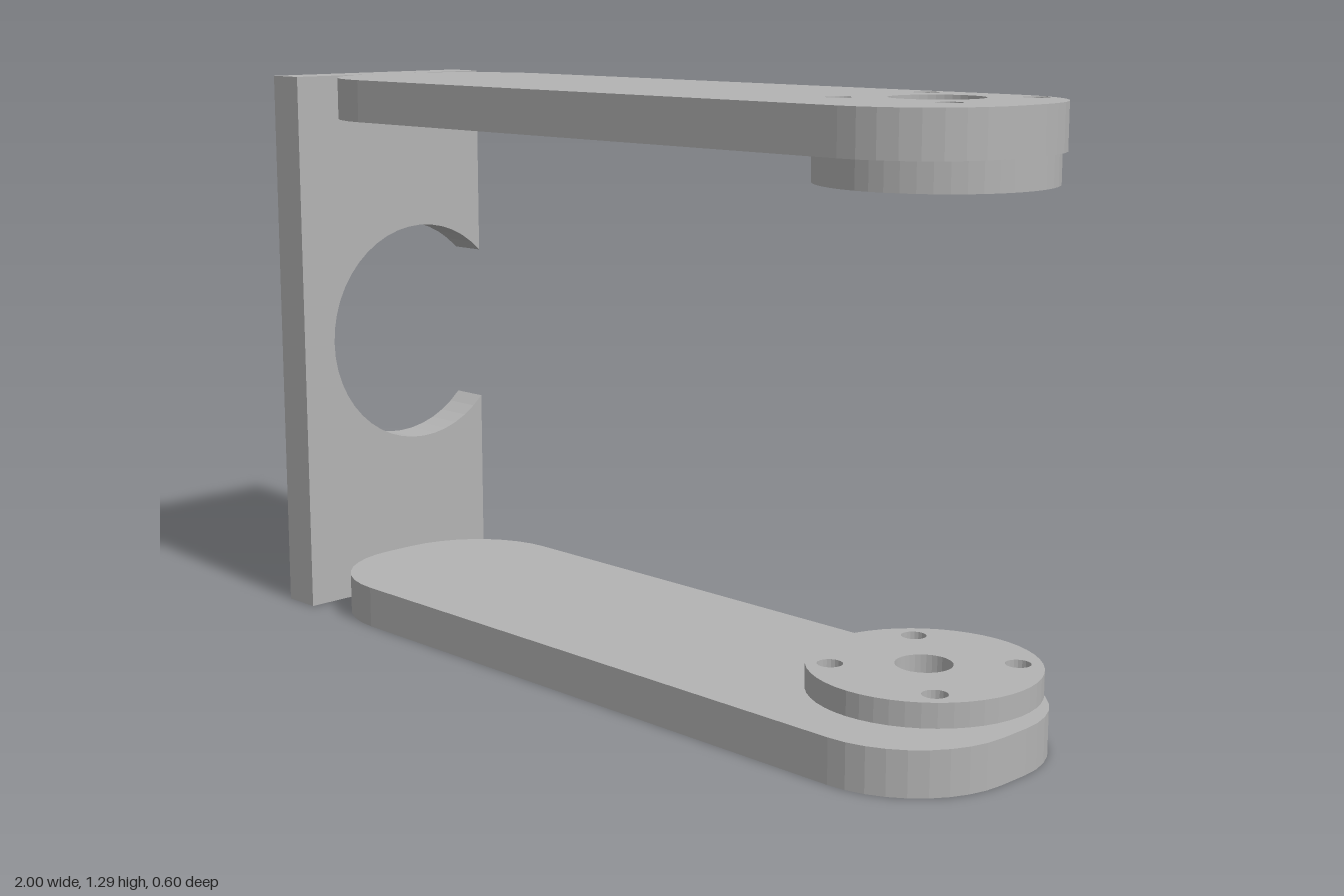
import * as THREE from 'three';

const HEIGHT = 1.288, ARM = 0.095;
const BACK = -0.245, FRONT = 0.3;
const PIVOT = [0.71, 0.058]; // pivot centre as (x, -z)

// Points along an arc
function arc(cx, cy, r, from, to, n) {
  return Array.from({ length: n + 1 }, (_, i) => {
    const a = from + (to - from) * i / n;
    return new THREE.Vector2(cx + r * Math.cos(a), cy + r * Math.sin(a));
  });
}
const circle = (cx, cy, r, n) => arc(cx, cy, r, 0, Math.PI * 2, n).slice(0, n);

// Flat slab from an (x, -z) outline with holes, standing on y
function slab(points, holes, depth) {
  const shape = new THREE.Shape(points);
  shape.holes = holes.map(h => new THREE.Path(h));
  return new THREE.ExtrudeGeometry(shape, { depth, bevelEnabled: false }).rotateX(-Math.PI / 2);
}

// Long arm outline with rounded corners
function armOutline() {
  const r = 0.235, q = Math.PI / 2;
  const x0 = -0.906 + r, x1 = 1 - r, y0 = -FRONT + r, y1 = -BACK - r;
  return [[x1, y0, -q], [x1, y1, 0], [x0, y1, q], [x0, y0, 2 * q]]
    .flatMap(([x, y, a]) => arc(x, y, r, a, a + q, 9));
}

export function createModel() {
  const group = new THREE.Group();
  const grey = new THREE.MeshStandardMaterial({ color: 0xb3b3b3, flatShading: true });
  grey.name = 'grey metal';
  const add = (name, geometry, x, y) => {
    const mesh = new THREE.Mesh(geometry, grey);
    mesh.name = name;
    mesh.position.set(x, y, 0);
    group.add(mesh);
  };

  // Four screw holes around the pivot
  const screws = [[-1, -1], [1, -1], [1, 1], [-1, 1]]
    .map(([i, j]) => circle(PIVOT[0] + i * 0.135, PIVOT[1] + j * 0.135, 0.027, 20));
  const wideBore = circle(...PIVOT, 0.096, 36);
  const narrowBore = circle(...PIVOT, 0.06, 32);
  const disc = circle(...PIVOT, 0.242, 48);

  // Arms
  add('lowerArm', slab(armOutline(), [narrowBore, ...screws], ARM), 0, 0);
  add('upperArm', slab(armOutline(), [wideBore, ...screws], ARM), 0, HEIGHT - ARM);

  // Pivot discs, set slightly into the arms
  add('lowerDisc', slab(disc, [narrowBore, ...screws], 0.057), 0, 0.09);
  add('upperDisc', slab(disc, [wideBore], 0.075), 0, 1.123);

  // End plate with a round cutout open to the back
  const a = Math.PI * 0.75;
  const plate = new THREE.Shape([
    new THREE.Vector2(BACK, 0), new THREE.Vector2(FRONT, 0),
    new THREE.Vector2(FRONT, HEIGHT), new THREE.Vector2(BACK, HEIGHT),
    ...arc(-0.055, HEIGHT / 2, 0.2687, a, -a, 36),
  ]);
  const plateGeometry = new THREE.ExtrudeGeometry(plate, { depth: 0.094, bevelEnabled: false })
    .rotateY(-Math.PI / 2);
  add('endPlate', plateGeometry, -0.906, 0);

  return group;
}
